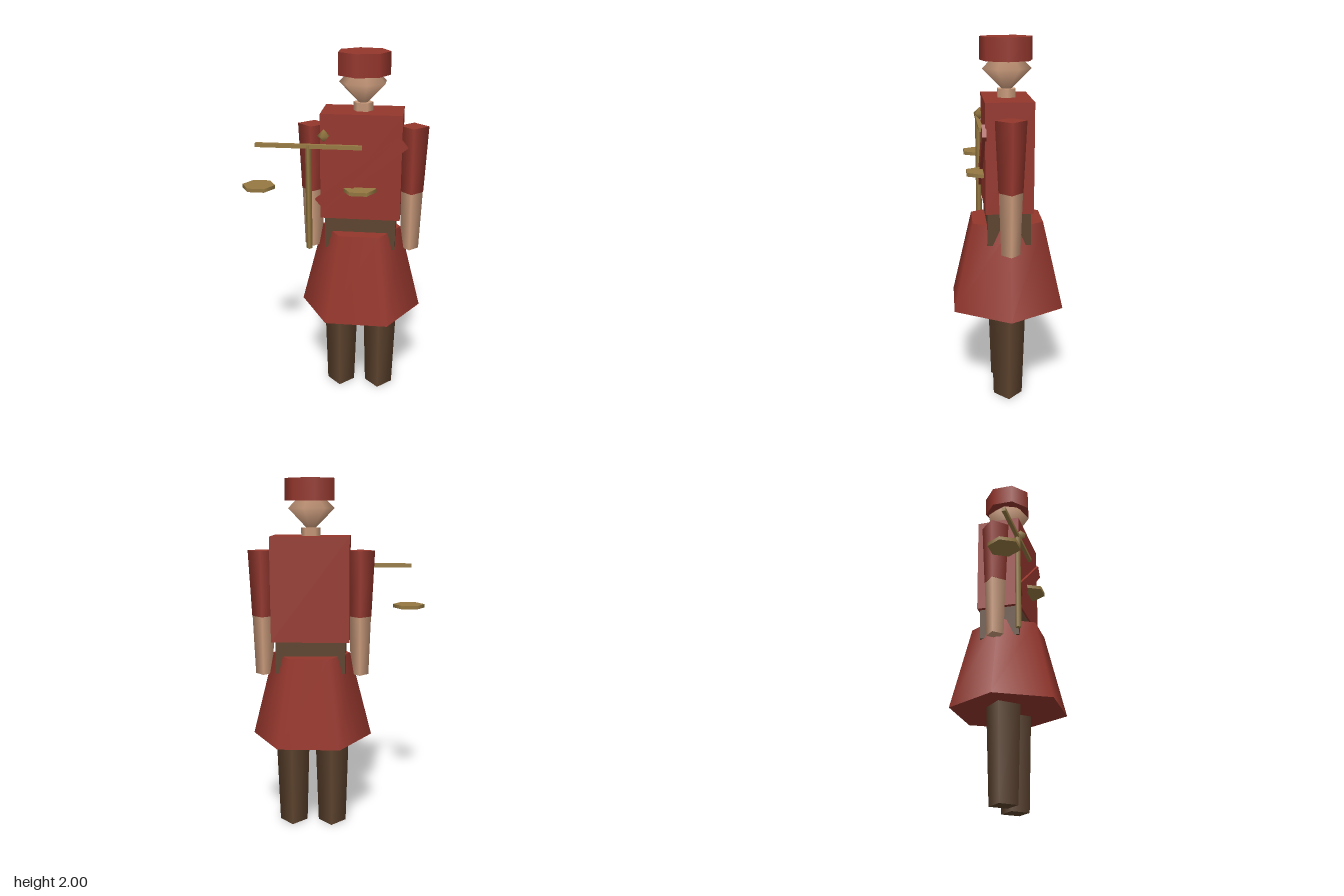
import * as THREE from 'three';

export function createModel() {
  const model = new THREE.Group();
  model.name = 'standingFigure';

  const mat = (name, color) => {
    const m = new THREE.MeshStandardMaterial({ color });
    m.name = name;
    return m;
  };
  const red = mat('redCloth', 0x94362c);
  const skin = mat('skin', 0xc8997a);
  const brown = mat('brownLeather', 0x5c422d);
  const gold = mat('brass', 0x967942);

  const add = (name, geometry, material, x, y, z, parent = model) => {
    const mesh = new THREE.Mesh(geometry, material);
    mesh.name = name;
    mesh.position.set(x, y, z);
    parent.add(mesh);
    return mesh;
  };
  // Tapered prism between two heights, with a corner pointing to +x
  const prism = (name, material, rTop, rBottom, y0, y1, sides, x, z, parent) => {
    const g = new THREE.CylinderGeometry(rTop, rBottom, y1 - y0, sides).rotateY(Math.PI / 2);
    return add(name, g, material, x, (y0 + y1) / 2, z, parent);
  };

  // Body, set off-centre to balance the held scales
  const body = new THREE.Group();
  body.name = 'body';
  body.position.x = 0.143;
  model.add(body);

  add('torso', new THREE.BoxGeometry(0.436, 0.58, 0.252), red, 0, 1.4, 0, body);
  add('hips', new THREE.BoxGeometry(0.39, 0.18, 0.23), brown, 0, 1.02, 0, body);
  prism('skirt', red, 0.22, 0.344, 0.545, 1.03, 6, 0, 0, body);
  prism('neck', skin, 0.054, 0.054, 1.66, 1.735, 6, 0, 0, body);
  add('head', new THREE.SphereGeometry(0.132, 7, 2), skin, 0, 1.84, 0, body);
  prism('hat', red, 0.143, 0.143, 1.88, 2, 7, 0, 0, body);

  // Arms and legs
  for (const [side, s] of [['left', 1], ['right', -1]]) {
    prism(side + 'Sleeve', red, 0.081, 0.064, 1.24, 1.61, 4, s * 0.275, 0, body);
    prism(side + 'Forearm', skin, 0.062, 0.05, 0.905, 1.24, 4, s * 0.275, 0, body);
    prism(side + 'Leg', brown, 0.1, 0.081, 0, 0.6, 4, s * 0.115, 0, body);
  }

  // Diagonal sash across the chest
  const sash = add('sash', new THREE.BoxGeometry(0.575, 0.075, 0.022), red, 0.002, 1.372, 0.131, body);
  sash.rotation.z = 0.675;

  // Balance scales
  const scales = new THREE.Group();
  scales.name = 'scales';
  scales.position.set(-0.137, 0, 0.137);
  model.add(scales);
  add('beam', new THREE.BoxGeometry(0.575, 0.022, 0.022), gold, 0, 1.517, 0, scales);
  prism('post', gold, 0.017, 0.017, 0.93, 1.525, 4, 0, 0, scales);
  for (const s of [1, -1]) {
    prism(s > 0 ? 'leftPan' : 'rightPan', gold, 0.091, 0.091, 1.273, 1.293, 6, s * 0.277, 0, scales);
  }

  // Brooch on the chest
  add('brooch', new THREE.SphereGeometry(0.035, 5, 2), gold, -0.054, 1.575, 0.133);

  return model;
}
